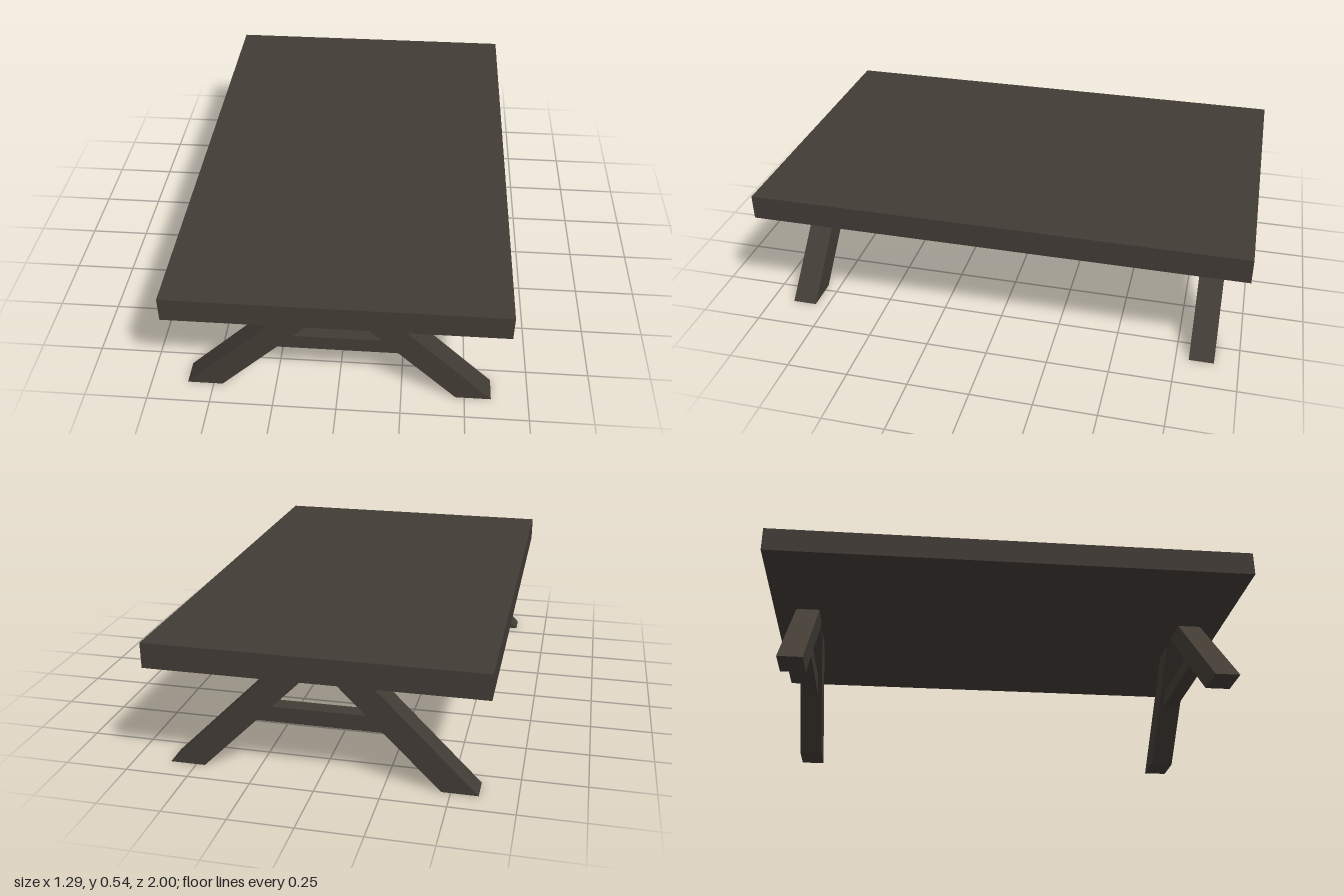
import * as THREE from 'three';

export function createModel() {
  const model = new THREE.Group();
  model.name = 'trestleTable';
  const darkWood = new THREE.MeshStandardMaterial({ color: 0x423c35 });
  darkWood.name = 'dark wood';

  const add = (parent, name, geometry, x, y, z) => {
    const mesh = new THREE.Mesh(geometry, darkWood);
    mesh.name = name;
    mesh.position.set(x, y, z);
    parent.add(mesh);
  };

  // Thick slab top
  add(model, 'tableTop', new THREE.BoxGeometry(1.29, 0.1, 2), 0, 0.49, 0);

  // Slanted leg outline, cut level at floor and slab; side mirrors it
  const legDepth = 0.1;
  const legGeometry = (side) => {
    const outline = [[0.465, 0], [0.605, 0], [0.168, 0.438], [0.026, 0.438]]
      .map(([x, y]) => new THREE.Vector2(x * side, y));
    return new THREE.ExtrudeGeometry(new THREE.Shape(outline), { depth: legDepth, bevelEnabled: false });
  };

  // One trestle at each end: two legs joined by a crossbar
  for (const [end, z] of [['front', 0.853], ['back', -0.853]]) {
    const trestle = new THREE.Group();
    trestle.name = end + 'Trestle';
    trestle.position.z = z;
    add(trestle, 'leftLeg', legGeometry(1), 0, 0, -legDepth / 2);
    add(trestle, 'rightLeg', legGeometry(-1), 0, 0, -legDepth / 2);
    add(trestle, 'crossbar', new THREE.BoxGeometry(0.56, 0.063, 0.063), 0, 0.243, 0);
    model.add(trestle);
  }
  return model;
}
